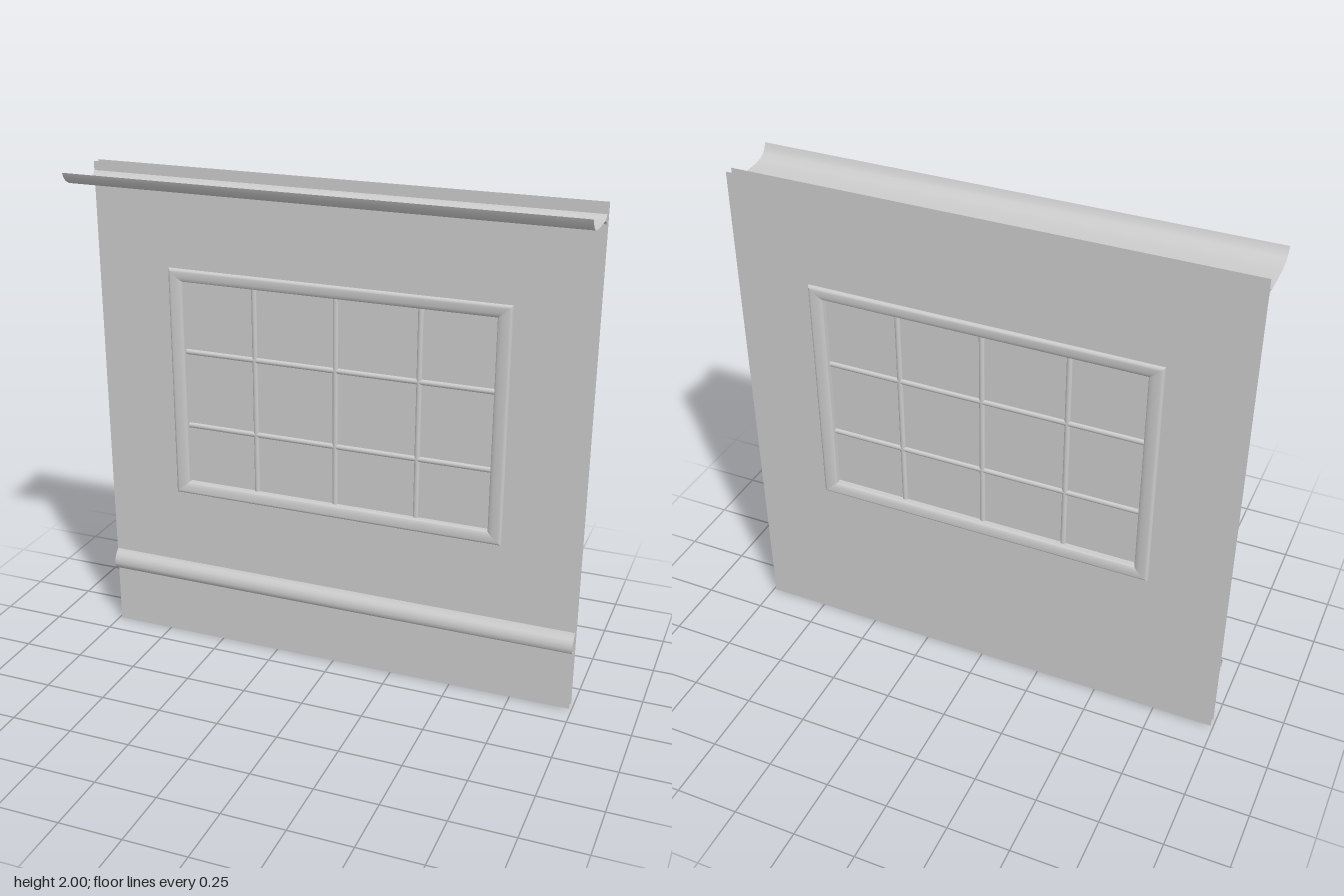
import * as THREE from 'three';

const W = 0.99;                                   // half width of the wall
const FRONT = -0.095, BACK = -0.13;               // the two wall skins
const OPEN = { x0: -0.63, x1: 0.63, y0: 0.71, y1: 1.56 };
const BAR_X = [-0.335, 0, 0.335], BAR_Y = [0.955, 1.268];
const MID = (FRONT + BACK) / 2;

const mat = new THREE.MeshStandardMaterial({ color: 0xcccccc, side: THREE.DoubleSide });

function add(group, name, geometry) {
  const mesh = new THREE.Mesh(geometry, mat);
  mesh.name = name;
  group.add(mesh);
  return mesh;
}

function rect(Type, x0, y0, x1, y1) {
  return new Type([[x0, y0], [x1, y0], [x1, y1], [x0, y1]].map(p => new THREE.Vector2(...p)));
}

// Smooth strip between two matching rows of points
function strip(rowA, rowB) {
  const pos = [], index = [];
  rowA.forEach((a, i) => {
    pos.push(...a, ...rowB[i]);
    if (i) {
      const k = 2 * i;
      index.push(k - 2, k - 1, k + 1, k - 2, k + 1, k);
    }
  });
  const g = new THREE.BufferGeometry();
  g.setAttribute('position', new THREE.Float32BufferAttribute(pos, 3));
  g.setIndex(index);
  g.computeVertexNormals();
  return g;
}

// Moulding along x from a [z, y] profile
const moulding = profile => strip(
  profile.map(([z, y]) => [-W, y, z]),
  profile.map(([z, y]) => [W, y, z]));

// Mitred casing around the opening; profile is [distance outward, z offset]
function casing(name, z, dir) {
  const group = new THREE.Group();
  group.name = name;
  const profile = [[0.055, 0], [0.055, 0.008], [0.051, 0.013], [0.043, 0.016],
    [0.018, 0.014], [0.005, 0.01], [0, 0.006], [0, 0]];
  const corner = (i, d, h) => [
    i === 0 || i === 3 ? OPEN.x0 - d : OPEN.x1 + d,
    i < 2 ? OPEN.y0 - d * 0.9 : OPEN.y1 + d * 0.9,
    z + dir * h];
  for (let i = 0; i < 4; i++) {
    const j = (i + 1) % 4;
    const a = profile.map(([d, h]) => corner(i, d, h));
    const b = profile.map(([d, h]) => corner(j, d, h));
    add(group, name + 'Side', dir > 0 ? strip(a, b) : strip(b, a));
  }
  return group;
}

// Jamb board lying flat in XY with slots where the hollow bars pass through
function jamb(from, to, slots) {
  const s = rect(THREE.Shape, from, BACK, to, FRONT);
  for (const c of slots) {
    const hole = new THREE.Path();
    hole.absellipse(c, MID, 0.011, 0.009, 0, Math.PI * 2, true);
    s.holes.push(hole);
  }
  return new THREE.ShapeGeometry(s, 4);
}

// Open-ended glazing bar with an oval section
function bar(length) {
  const g = new THREE.CylinderGeometry(0.011, 0.011, length, 12, 1, true);
  g.scale(1, 1, 0.85);
  return g;
}

export function createModel() {
  const model = new THREE.Group();
  model.name = 'windowWall';

  // Thin wall skins with the window opening, open round the edges
  for (const [name, z, flip] of [['frontWall', FRONT, 0], ['backWall', BACK, Math.PI]]) {
    const s = rect(THREE.Shape, -W, 0, W, 2);
    s.holes.push(rect(THREE.Path, OPEN.x0, OPEN.y0, OPEN.x1, OPEN.y1));
    const skin = add(model, name, new THREE.ShapeGeometry(s));
    skin.position.z = z;
    skin.rotation.y = flip;
  }

  // Cornice: a thin shelf curling up to a lip
  add(model, 'cornice', moulding([[FRONT, 1.965], [-0.085, 1.953], [-0.07, 1.947],
    [0, 1.946], [0.06, 1.947], [0.095, 1.953], [0.118, 1.965], [0.132, 1.982], [0.14, 2]].reverse()));
  add(model, 'corniceFillet', moulding([[FRONT, 1.93], [-0.086, 1.94], [-0.07, 1.947]]));

  // Rounded rail low on the front
  add(model, 'wallRail', moulding([[FRONT, 0.255], [-0.078, 0.256], [-0.069, 0.266],
    [-0.066, 0.282], [-0.068, 0.3], [-0.076, 0.316], [-0.088, 0.328], [FRONT, 0.34]].reverse()));

  // Window casings on both faces
  model.add(casing('frontCasing', FRONT, 1), casing('backCasing', BACK, -1));

  // Jambs lining the opening
  for (const y of [OPEN.y0, OPEN.y1]) {
    const g = jamb(OPEN.x0, OPEN.x1, BAR_X);
    g.applyMatrix4(new THREE.Matrix4().set(1, 0, 0, 0, 0, 0, -1, y, 0, 1, 0, 0, 0, 0, 0, 1));
    add(model, 'horizontalJamb', g);
  }
  for (const x of [OPEN.x0, OPEN.x1]) {
    const g = jamb(OPEN.y0, OPEN.y1, BAR_Y);
    g.applyMatrix4(new THREE.Matrix4().set(0, 0, 1, x, 1, 0, 0, 0, 0, 1, 0, 0, 0, 0, 0, 1));
    add(model, 'verticalJamb', g);
  }

  // Glazing bars
  const w = OPEN.x1 - OPEN.x0, h = OPEN.y1 - OPEN.y0, midY = (OPEN.y0 + OPEN.y1) / 2;
  for (const x of BAR_X) add(model, 'verticalBar', bar(h)).position.set(x, midY, MID);
  for (const y of BAR_Y) {
    const m = add(model, 'horizontalBar', bar(w));
    m.rotation.z = Math.PI / 2;
    m.position.set(0, y, MID);
  }

  // Panes between the bars
  const xs = [OPEN.x0, ...BAR_X, OPEN.x1], ys = [OPEN.y0, ...BAR_Y, OPEN.y1];
  for (let i = 0; i < xs.length - 1; i++) {
    for (let j = 0; j < ys.length - 1; j++) {
      const pane = add(model, 'pane', new THREE.PlaneGeometry(xs[i + 1] - xs[i], ys[j + 1] - ys[j]));
      pane.position.set((xs[i] + xs[i + 1]) / 2, (ys[j] + ys[j + 1]) / 2, MID);
    }
  }
  return model;
}
